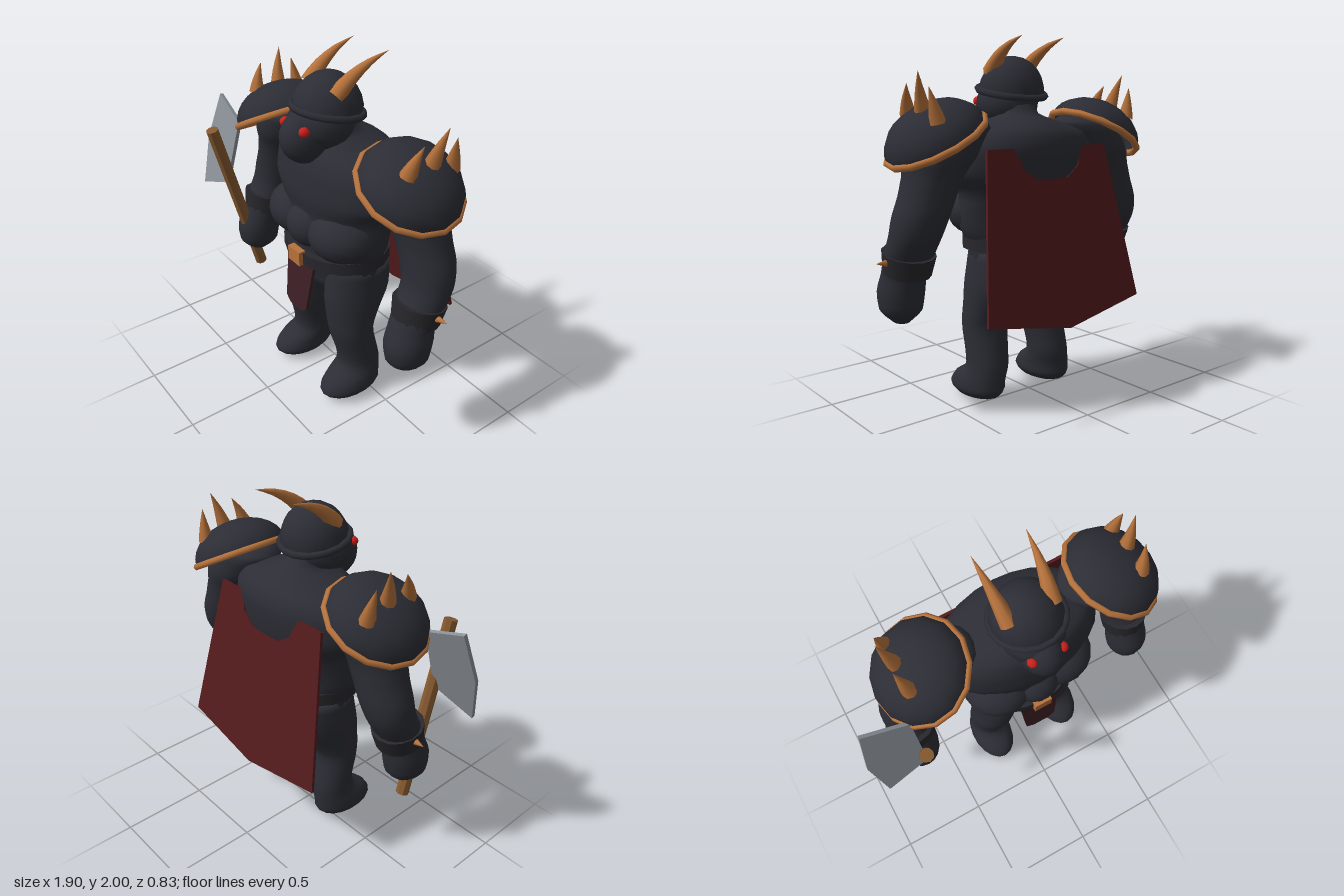
import * as THREE from 'three';

const mat = (name, color, extra = {}) => {
  const m = new THREE.MeshStandardMaterial({ color, ...extra });
  m.name = name;
  return m;
};

export function createModel() {
  const skin = mat('charcoal', 0x2c2d35, { side: THREE.DoubleSide });
  const leather = mat('black leather', 0x28282d);
  const copper = mat('copper', 0xb8733c);
  const wood = mat('wood', 0x85592f, { flatShading: true });
  const steel = mat('steel', 0x8b9198);
  const cloth = mat('dark red cloth', 0x551b1d);
  const hide = mat('brown hide', 0x3d2024);
  const glow = mat('eye red', 0xcc201c);

  const model = new THREE.Group();
  model.name = 'hornedWarrior';
  const body = new THREE.Group(); // the figure itself stands a little to the left of the axe
  body.name = 'figure';
  body.position.x = 0.053;
  model.add(body);

  const add = (name, geo, material, pos = [0, 0, 0], rot = [0, 0, 0], parent = body) => {
    const m = new THREE.Mesh(geo, material);
    m.name = name;
    m.position.set(...pos);
    m.rotation.set(...rot);
    parent.add(m);
    return m;
  };
  const ball = (name, pos, r, material = skin, w = 18, h = 12) =>
    add(name, new THREE.SphereGeometry(1, w, h).scale(...r), material, pos);

  // Smooth skin through elliptical sections [x, y, z, radiusX, radiusZ], listed top to bottom
  const loft = (rings, s = 1, sides = 18, steps = 3) => {
    const centre = new THREE.CatmullRomCurve3(rings.map(r => new THREE.Vector3(r[0] * s, r[1], r[2])));
    const radii = new THREE.CatmullRomCurve3(rings.map(r => new THREE.Vector3(r[3], 0, r[4])));
    const n = (rings.length - 1) * steps;
    const pos = [], idx = [];
    for (let i = 0; i <= n; i++) {
      const c = centre.getPoint(i / n), r = radii.getPoint(i / n);
      for (let j = 0; j < sides; j++) {
        const a = (j / sides) * Math.PI * 2;
        pos.push(c.x + Math.sin(a) * r.x, c.y, c.z + Math.cos(a) * r.z);
        if (i === n) continue;
        const k = i * sides + j, l = i * sides + (j + 1) % sides;
        idx.push(k, k + sides, l, l, k + sides, l + sides);
      }
    }
    const end = n * sides;
    for (let j = 1; j < sides - 1; j++) idx.push(0, j, j + 1, end, end + j + 1, end + j);
    const g = new THREE.BufferGeometry();
    g.setAttribute('position', new THREE.Float32BufferAttribute(pos, 3));
    g.setIndex(idx);
    g.computeVertexNormals();
    return g;
  };

  // Curved horn: a tube that narrows to a point
  const horn = (points, radius, segs = 6) => {
    const curve = new THREE.CatmullRomCurve3(points.map(p => new THREE.Vector3(...p)));
    const g = new THREE.TubeGeometry(curve, segs, radius, 8);
    const p = g.attributes.position, v = new THREE.Vector3();
    for (let i = 0; i < p.count; i++) {
      const t = Math.floor(i / 9) / segs;
      v.fromBufferAttribute(p, i).lerp(curve.getPointAt(t), Math.pow(t, 1.2));
      p.setXYZ(i, v.x, v.y, v.z);
    }
    return g;
  };

  // Flat plate from an outline
  const plate = (pts, depth) => {
    const shape = new THREE.Shape(pts.map(p => new THREE.Vector2(...p)));
    return new THREE.ExtrudeGeometry(shape, { depth, bevelEnabled: false }).translate(0, 0, -depth / 2);
  };

  // Torso
  add('torso', loft([
    [0, 1.68, 0.07, 0.1, 0.1], [0, 1.6, 0.03, 0.11, 0.12], [0, 1.55, 0, 0.24, 0.2],
    [0, 1.5, -0.01, 0.38, 0.245], [0, 1.42, -0.01, 0.45, 0.27], [0, 1.3, 0, 0.46, 0.275],
    [0, 1.18, 0.01, 0.38, 0.255], [0, 1.07, 0.03, 0.375, 0.24], [0, 0.98, 0.03, 0.36, 0.23],
    [0, 0.9, 0.02, 0.32, 0.23], [0, 0.8, 0.005, 0.31, 0.21], [0, 0.7, 0, 0.27, 0.19],
    [0, 0.61, 0.01, 0.1, 0.08],
  ], 1, 24), skin);
  ball('bellyCentre', [0, 1.08, 0.17], [0.15, 0.14, 0.16]);

  // Head and helmet
  ball('face', [0, 1.655, 0.125], [0.168, 0.145, 0.18]);
  ball('muzzle', [0, 1.6, 0.215], [0.12, 0.145, 0.15]);
  const helmet = new THREE.Group();
  helmet.name = 'helmet';
  helmet.position.set(0, 1.715, 0.085);
  helmet.rotation.x = -0.19;
  body.add(helmet);
  add('helmetDome', new THREE.SphereGeometry(0.185, 14, 6, 0, Math.PI * 2, 0, Math.PI / 2).scale(1, 1.06, 1),
    skin, [0, 0, 0], [0, 0, 0], helmet);
  add('helmetBrim', new THREE.TorusGeometry(0.187, 0.02, 6, 18).rotateX(Math.PI / 2),
    skin, [0, 0, 0], [0, 0, 0], helmet);

  for (const s of [1, -1]) {
    const side = s > 0 ? 'left' : 'right';
    ball(side + 'Eye', [s * 0.083, 1.665, 0.287], [0.028, 0.027, 0.03], glow, 8, 6);
    add(side + 'Horn', horn([[s * 0.115, 1.82, 0.12], [s * 0.125, 1.895, 0.04],
      [s * 0.135, 1.96, -0.07], [s * 0.142, 2.0, -0.19]], 0.047), copper);
    ball(side + 'Belly', [s * 0.185, 1.075, 0.12], [0.198, 0.152, 0.19]);

    // Arm with closed hand
    add(side + 'Arm', loft([
      [0.4, 1.585, -0.01, 0.1, 0.08], [0.45, 1.53, -0.01, 0.2, 0.17], [0.53, 1.41, -0.02, 0.205, 0.175],
      [0.59, 1.3, -0.03, 0.162, 0.15], [0.63, 1.2, -0.035, 0.152, 0.14], [0.67, 1.1, -0.035, 0.15, 0.137],
      [0.695, 1, -0.02, 0.138, 0.132], [0.705, 0.9, 0.03, 0.13, 0.13], [0.708, 0.8, 0.08, 0.117, 0.12],
      [0.715, 0.7, 0.105, 0.122, 0.133], [0.715, 0.6, 0.11, 0.11, 0.12], [0.715, 0.53, 0.11, 0.04, 0.05],
    ], s), skin);
    add(side + 'Bracer', new THREE.CylinderGeometry(0.14, 0.125, 0.11, 14).scale(1, 1, 1.04), leather,
      [s * 0.705, 0.855, 0.045], [-0.22, 0, 0]);
    add(side + 'BracerSpike', horn([[s * 0.81, 0.87, 0.035], [s * 0.855, 0.873, 0.03], [s * 0.895, 0.876, 0.025]], 0.024, 3), copper);

    // Leg and foot
    add(side + 'Leg', loft([
      [0.17, 0.86, 0, 0.14, 0.19], [0.175, 0.7, 0.015, 0.15, 0.2], [0.19, 0.55, 0.055, 0.138, 0.16],
      [0.203, 0.44, 0.075, 0.13, 0.128], [0.215, 0.3, 0.045, 0.12, 0.122], [0.222, 0.2, 0.035, 0.115, 0.13],
      [0.235, 0.13, 0.085, 0.122, 0.178], [0.238, 0.075, 0.105, 0.126, 0.195], [0.238, 0.035, 0.105, 0.1, 0.165],
      [0.238, 0.005, 0.1, 0.03, 0.07],
    ], s), skin);

    // Shoulder guard with rim and spikes
    const guard = new THREE.Group();
    guard.name = side + 'ShoulderGuard';
    guard.position.set(s * 0.552, 1.475, 0);
    guard.rotation.z = -s * 0.503;
    body.add(guard);
    add('shoulderDome', new THREE.SphereGeometry(0.275, 14, 7, 0, Math.PI * 2, 0, Math.PI / 2).scale(1, 0.69, 1),
      skin, [0, 0, 0], [0, 0, 0], guard);
    add('shoulderRim', new THREE.TorusGeometry(0.273, 0.02, 6, 14).rotateX(Math.PI / 2),
      copper, [0, 0, 0], [0, 0, 0], guard);
    for (const [z, y, tipZ, tipY, tipX] of [[0.11, 1.6, 0.05, 1.755, 0.685], [-0.035, 1.61, -0.085, 1.815, 0.7], [-0.17, 1.56, -0.155, 1.74, 0.685]]) {
      add('shoulderSpike', horn([[s * 0.645, y, z], [s * (0.645 + tipX) / 2, (y + tipY) / 2, z * 0.6 + tipZ * 0.4],
        [s * tipX, tipY, tipZ]], 0.044, 5), copper);
    }
  }

  // Belt, buckle and hanging flaps
  add('belt', new THREE.CylinderGeometry(0.335, 0.335, 0.07, 20).scale(1, 1, 0.82), leather, [0, 0.907, 0.025]);
  add('buckle', new THREE.BoxGeometry(0.105, 0.085, 0.04), copper, [0, 0.91, 0.297]);
  const flap = [[-0.12, 0.16], [-0.095, -0.125], [-0.05, -0.155], [0.05, -0.155], [0.095, -0.125], [0.12, 0.16]];
  add('frontFlap', plate(flap, 0.018), hide, [0, 0.715, 0.285], [-0.13, 0, 0]);
  add('backFlap', plate(flap, 0.018), hide, [0, 0.755, -0.225], [0.15, 0, 0]);

  // Cape, notched at the neck
  add('cape', plate([
    [-0.405, 0.45], [-0.525, -0.42], [0, -0.515], [0.525, -0.42], [0.405, 0.45],
    [0.22, 0.45], [0.19, 0.34], [0.1, 0.28], [-0.1, 0.28], [-0.19, 0.34], [-0.22, 0.45],
  ], 0.016), cloth, [0, 0.985, -0.315], [0.19, 0, 0]);

  // Axe held in the right hand, its blade raked back from the handle
  const axe = new THREE.Group();
  axe.name = 'axe';
  model.add(axe);
  add('axeHandle', new THREE.CylinderGeometry(0.037, 0.037, 1.04, 8), wood,
    [-0.662, 0.91, 0.242], [0.264, 0, 0], axe);
  add('axeBlade', plate([
    [0, 0.19], [-0.248, 0.285], [-0.293, 0], [-0.248, -0.285], [0, -0.19],
  ], 0.022), steel, [-0.662, 1.23, 0.245], [-0.28, 0, 0], axe);

  return model;
}
